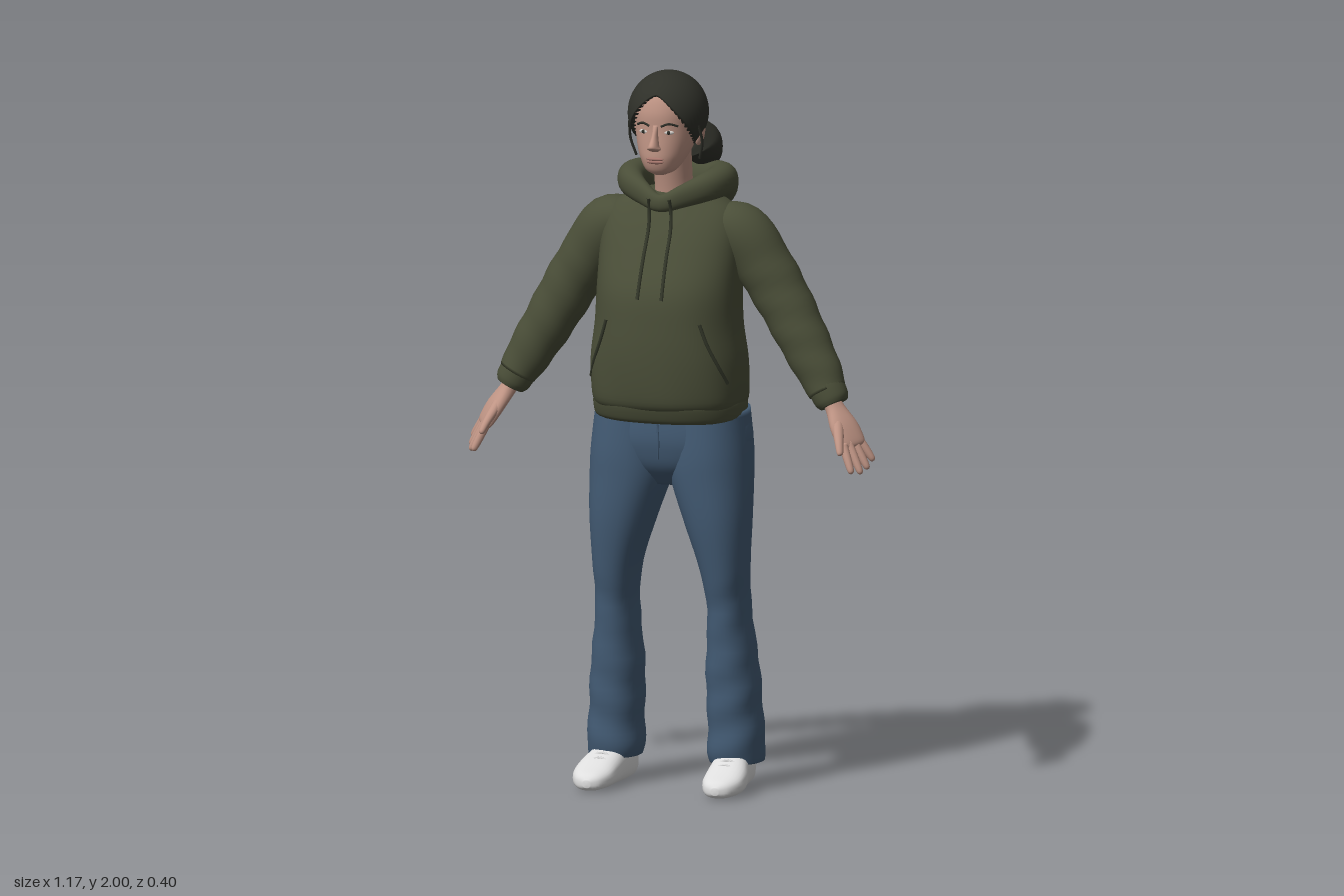
import * as THREE from 'three';

const flat = (hex, name, side = THREE.FrontSide) => {
  const m = new THREE.MeshStandardMaterial({ color: hex, side });
  m.name = name;
  return m;
};
const V = (x, y, z) => new THREE.Vector3(x, y, z);

// Smoothly fill in between cross-sections [x, y, z, halfWidth, halfDepth]
function sample(list, steps, closed = false) {
  const n = list.length, out = [];
  const at = i => closed ? list[(i + n) % n] : list[Math.min(n - 1, Math.max(0, i))];
  for (let i = 0; i < (closed ? n : n - 1); i++) for (let k = 0; k < steps; k++) {
    const t = k / steps, [p, q, r, s] = [at(i - 1), at(i), at(i + 1), at(i + 2)];
    out.push(q.map((b, d) => 0.5 * (2 * b + (r[d] - p[d]) * t
      + (2 * p[d] - 5 * b + 4 * r[d] - s[d]) * t * t
      + (3 * b - p[d] - 3 * r[d] + s[d]) * t * t * t)));
  }
  if (!closed) out.push(list[n - 1]);
  return out;
}

// Skin a run of cross-sections; "axis" fixes the cutting direction, "fold" adds cloth folds
function loft(list, { steps = 5, seg = 32, n = 2, ref = V(0, 0, 1), axis = null, closed = false, fold = () => 1 } = {}) {
  const rings = sample(list, steps, closed), R = rings.length, pos = [], idx = [];
  rings.forEach((r, i) => {
    const a = rings[closed ? (i - 1 + R) % R : Math.max(0, i - 1)];
    const b = rings[closed ? (i + 1) % R : Math.min(R - 1, i + 1)];
    const T = axis ? axis.clone() : V(b[0] - a[0], b[1] - a[1], b[2] - a[2]).normalize();
    const S = ref.clone().cross(T).normalize(), O = T.clone().cross(S);
    for (let j = 0; j < seg; j++) {
      const t = j / seg * Math.PI * 2, c = Math.cos(t), s = Math.sin(t), f = fold(r[1], t);
      const u = Math.sign(c) * Math.abs(c) ** (2 / n) * Math.max(5e-4, r[3]) * f;
      const v = Math.sign(s) * Math.abs(s) ** (2 / n) * Math.max(5e-4, r[4]) * f;
      pos.push(r[0] + S.x * u + O.x * v, r[1] + S.y * u + O.y * v, r[2] + S.z * u + O.z * v);
    }
  });
  for (let i = 0; i < (closed ? R : R - 1); i++) for (let j = 0; j < seg; j++) {
    const k = (j + 1) % seg, A = i * seg, B = ((i + 1) % R) * seg;
    idx.push(A + j, A + k, B + k, A + j, B + k, B + j);
  }
  if (!closed) {
    const L = (R - 1) * seg, c = R * seg;
    pos.push(...rings[0].slice(0, 3), ...rings[R - 1].slice(0, 3));
    for (let j = 0; j < seg; j++) {
      const k = (j + 1) % seg;
      idx.push(c, k, j, c + 1, L + j, L + k);
    }
  }
  const g = new THREE.BufferGeometry();
  g.setAttribute('position', new THREE.Float32BufferAttribute(pos, 3));
  g.setIndex(idx);
  g.computeVertexNormals();
  return g;
}

// Front surface depth of an upright body at (x, y)
function frontZ(list, x, y, n) {
  const r = sample(list, 12).reduce((p, q) => Math.abs(q[1] - y) < Math.abs(p[1] - y) ? q : p);
  return r[2] + r[4] * Math.max(0, 1 - Math.abs(x / r[3]) ** n) ** (1 / n);
}

export function createModel() {
  const group = new THREE.Group();
  const hoodie = flat(0x4a4e38, 'olive fabric'), seam = flat(0x34382a, 'dark olive');
  const denim = flat(0x435b74, 'denim'), skin = flat(0xc09585, 'skin');
  const hair = flat(0x2f3029, 'dark hair', THREE.DoubleSide), shoe = flat(0xdedede, 'white shoe');
  const lip = flat(0xa5766c, 'lips'), eyeWhite = flat(0xd5cfca, 'eye white');
  const add = (name, geo, mat) => {
    const m = new THREE.Mesh(geo, mat);
    m.name = name;
    group.add(m);
    return m;
  };
  const ball = (name, mat, p, r) => {
    const m = add(name, new THREE.SphereGeometry(1, 20, 14), mat);
    m.position.set(...p);
    m.scale.set(...r);
    return m;
  };
  const cord = (name, pts, r, mat) =>
    add(name, new THREE.TubeGeometry(new THREE.CatmullRomCurve3(pts), 24, r, 6), mat);
  const up = V(0, 1, 0);

  // Hooded top: body, hem band, hood
  const torso = [
    [0, 1.07, .015, .205, .16], [0, 1.1, .018, .216, .174], [0, 1.2, .02, .216, .181],
    [0, 1.3, .022, .203, .177], [0, 1.4, .02, .2, .166], [0, 1.5, .006, .2, .134],
    [0, 1.57, -.008, .195, .11], [0, 1.62, -.02, .172, .09], [0, 1.66, -.025, .11, .07]];
  add('hoodieBody', loft(torso, {
    seg: 56, n: 2.3, axis: up,
    fold: (y, t) => 1 + .012 * Math.sin(7 * t + 14 * y) * Math.max(0, 1.5 - y) * 2
  }), hoodie);
  add('hemBand', loft([[0, 1.035, .008, .2, .15], [0, 1.045, .01, .21, .16], [0, 1.08, .014, .213, .168],
    [0, 1.1, .016, .206, .164]], { seg: 56, n: 2.3, axis: up }), hoodie);
  const half = [[.06, 1.66, .07, .022, .032], [.11, 1.68, .02, .035, .04], [.125, 1.685, -.05, .042, .045],
    [.095, 1.665, -.115, .046, .065]];
  const hood = [[0, 1.64, .1, .016, .024], ...half, [0, 1.64, -.152, .05, .085],
    ...half.map(([x, ...r]) => [-x, ...r]).reverse()];
  add('hood', loft(hood, { closed: true, ref: up, seg: 28, n: 2.2 }), hoodie);

  // Neck and head
  add('neck', loft([[0, 1.6, -.03, .06, .06], [0, 1.68, -.015, .052, .058], [0, 1.79, .01, .055, .06]], { axis: up }), skin);
  const head = [
    [0, 1.722, .1, .015, .018], [0, 1.735, .09, .042, .046], [0, 1.765, .07, .061, .077],
    [0, 1.8, .052, .075, .095], [0, 1.85, .04, .084, .104], [0, 1.9, .036, .086, .108],
    [0, 1.95, .034, .073, .092], [0, 1.98, .034, .035, .05]];
  add('head', loft(head, { seg: 40, n: 2.15, axis: up }), skin);
  add('nose', loft([[0, 1.793, .148, .01, .008], [0, 1.8, .153, .019, .019], [0, 1.81, .156, .014, .024],
    [0, 1.835, .144, .009, .018], [0, 1.865, .14, .008, .006]], { seg: 18, axis: up }), skin);
  for (const [y, h] of [[1.771, .005], [1.763, .006]])
    ball('lip', lip, [0, y, frontZ(head, 0, y, 2.15) - .001], [.025, h, .006]);
  for (const s of [-1, 1]) {
    const z = frontZ(head, .036, 1.845, 2.15);
    ball('eye', eyeWhite, [s * .036, 1.845, z - .002], [.015, .006, .005]).rotation.y = s * .3;
    ball('iris', hair, [s * .036, 1.845, z + .001], [.0055, .0055, .004]);
    cord('brow', [.016, .036, .058].map((x, i) =>
      V(s * x, [1.862, 1.869, 1.862][i], frontZ(head, x, 1.866, 2.15))), .0035, hair);
    ball('ear', skin, [s * .088, 1.825, .02], [.012, .032, .02]).rotation.z = -s * .2;
    cord('looseStrand', [V(s * .1, 1.86, .07), V(s * .104, 1.81, .05), V(s * .092, 1.76, .035)], .004, hair);
  }

  // Hair cap: a sphere whose lower edge rises to a centre parting, rim tucked inward
  const cap = new THREE.SphereGeometry(1, 64, 28), cp = cap.attributes.position;
  for (let i = 0; i < cp.count; i++) {
    const row = Math.floor(i / 65) / 28, az = (i % 65) / 64 * Math.PI * 2;
    const away = Math.abs(Math.atan2(Math.sin(az), Math.cos(az)));
    const limit = 1.05 + 1.55 * THREE.MathUtils.smoothstep(away, 0, 1.9) ** .8;
    const th = row * limit, k = row > .97 ? .82 : 1;
    cp.setXYZ(i, Math.sin(az) * Math.sin(th) * .11 * k, 1.885 + Math.cos(th) * .115 * (row > .97 ? .95 : 1),
      .033 + Math.cos(az) * Math.sin(th) * .124 * k);
  }
  cap.computeVertexNormals();
  add('hairCap', cap, hair);
  add('ponytail', loft([[0, 1.815, -.06, .02, .02], [.01, 1.81, -.085, .03, .03], [.025, 1.8, -.108, .05, .046],
    [.042, 1.77, -.13, .062, .056], [.058, 1.73, -.135, .042, .04], [.066, 1.705, -.13, .008, .008]],
  { seg: 24, ref: V(1, 0, 0) }), hair);

  // Trouser seat and fly
  add('trouserSeat', loft([[0, .85, -.005, .06, .07], [0, .9, -.005, .16, .112], [0, .95, -.008, .216, .132],
    [0, 1.0, -.01, .223, .139], [0, 1.08, -.008, .2, .13]], { seg: 44, n: 2.3, axis: up }), denim);
  cord('fly', [V(0, 1.035, .128), V(.004, .98, .129), V(0, .93, .12)], .003, denim);

  for (const s of [-1, 1]) {
    const mir = list => list.map(([x, ...r]) => [s * x, ...r]);

    // Sleeve and cuff
    add('sleeve', loft(mir([[.11, 1.575, -.025, .05, .075], [.185, 1.55, -.03, .083, .085], [.25, 1.465, -.036, .08, .08],
      [.31, 1.37, -.036, .076, .075], [.37, 1.265, -.028, .07, .07], [.42, 1.18, -.015, .063, .058],
      [.45, 1.125, -.006, .053, .052]]), {
      seg: 36, fold: (y, t) => 1 + .025 * Math.sin(75 * y + 2 * Math.cos(t)) * (y < 1.45 ? 1 : .3)
    }), hoodie);
    add('cuff', loft(mir([[.437, 1.15, -.008, .045, .046], [.444, 1.138, -.006, .051, .05], [.462, 1.105, -.002, .049, .048],
      [.47, 1.09, 0, .04, .042]]), { seg: 28 }), hoodie);

    // Hand with palm, four fingers and thumb
    const palmNormal = V(-.7 * s, -.43, -.515), along = V(.45, -.85, .1), across = V(-.4, -.1, .9);
    add('palm', loft(mir([[.455, 1.115, 0, .026, .022], [.475, 1.08, .006, .028, .021], [.505, 1.035, .02, .044, .02],
      [.53, .992, .03, .045, .015], [.536, .98, .032, .036, .009]]), { seg: 24, ref: palmNormal, n: 2.3 }), skin);
    [.072, .09, .097, .088].forEach((len, i) => {
      const off = (i - 1.5) * .022;
      const pts = [0, .5, .9, 1].map((t, k) => {
        const p = V(.528, .998, .03).addScaledVector(along, t * len + .004).addScaledVector(across, off * (1 + .5 * t));
        const r = [.012, .0115, .009, .003][k];
        return [p.x, p.y, p.z, r, r];
      });
      add('finger', loft(mir(pts), { seg: 12, ref: palmNormal }), skin);
    });
    add('thumb', loft(mir([[.488, 1.06, .02, .016, .014], [.5, 1.025, .052, .016, .014], [.512, .995, .08, .012, .011],
      [.52, .972, .096, .009, .008], [.522, .967, .099, .003, .003]]), { seg: 14, ref: palmNormal }), skin);

    // Drawstring and pocket opening lying on the chest
    cord('drawstring', [1.655, 1.62, 1.57, 1.5, 1.44, 1.385].map((y, i) =>
      V(s * (.03 + .001 * i), y, Math.max(frontZ(torso, .033, y, 2.3), i < 2 ? .108 - i * .012 : 0) + .006)), .005, seam);
    cord('pocketOpening', [[.135, 1.32], [.155, 1.26], [.18, 1.2], [.198, 1.15]].map(([x, y]) =>
      V(s * x, y, frontZ(torso, x, y, 2.3) + .001)), .005, seam);

    // Trouser leg with folds at knee and hem
    add('trouserLeg', loft(mir([[.175, .075, -.036, .072, .088], [.175, .11, -.036, .077, .093], [.172, .2, -.034, .073, .093],
      [.167, .32, -.028, .071, .094], [.162, .5, -.012, .056, .088], [.155, .62, .006, .066, .092],
      [.137, .75, .01, .091, .108], [.117, .87, .002, .112, .124], [.112, .95, -.004, .114, .132],
      [.106, 1.06, -.008, .108, .13]]), {
      seg: 36, n: 2.2, axis: up,
      fold: (y, t) => 1 + .028 * Math.sin(55 * y + 2 * Math.sin(t + s)) * (y < .62 ? 1 : 0) * Math.min(1, Math.abs(.62 - y) * 8)
    }), denim);

    // Shoe with laces
    add('shoe', loft(mir([[.17, .042, -.112, .018, .022], [.17, .046, -.1, .038, .042], [.172, .055, -.05, .048, .055],
      [.178, .054, .02, .053, .054], [.186, .043, .08, .059, .043], [.188, .033, .13, .056, .032],
      [.187, .026, .168, .037, .023], [.186, .023, .184, .01, .01]]), { seg: 28, n: 2.5, ref: up, axis: V(0, 0, 1) }), shoe);
    for (const [z, y] of [[.045, .1], [.068, .091], [.09, .081]])
      cord('lace', [V(s * .155, y - .008, z), V(s * .183, y + .001, z), V(s * .211, y - .008, z)], .004, shoe);
  }
  return group;
}
